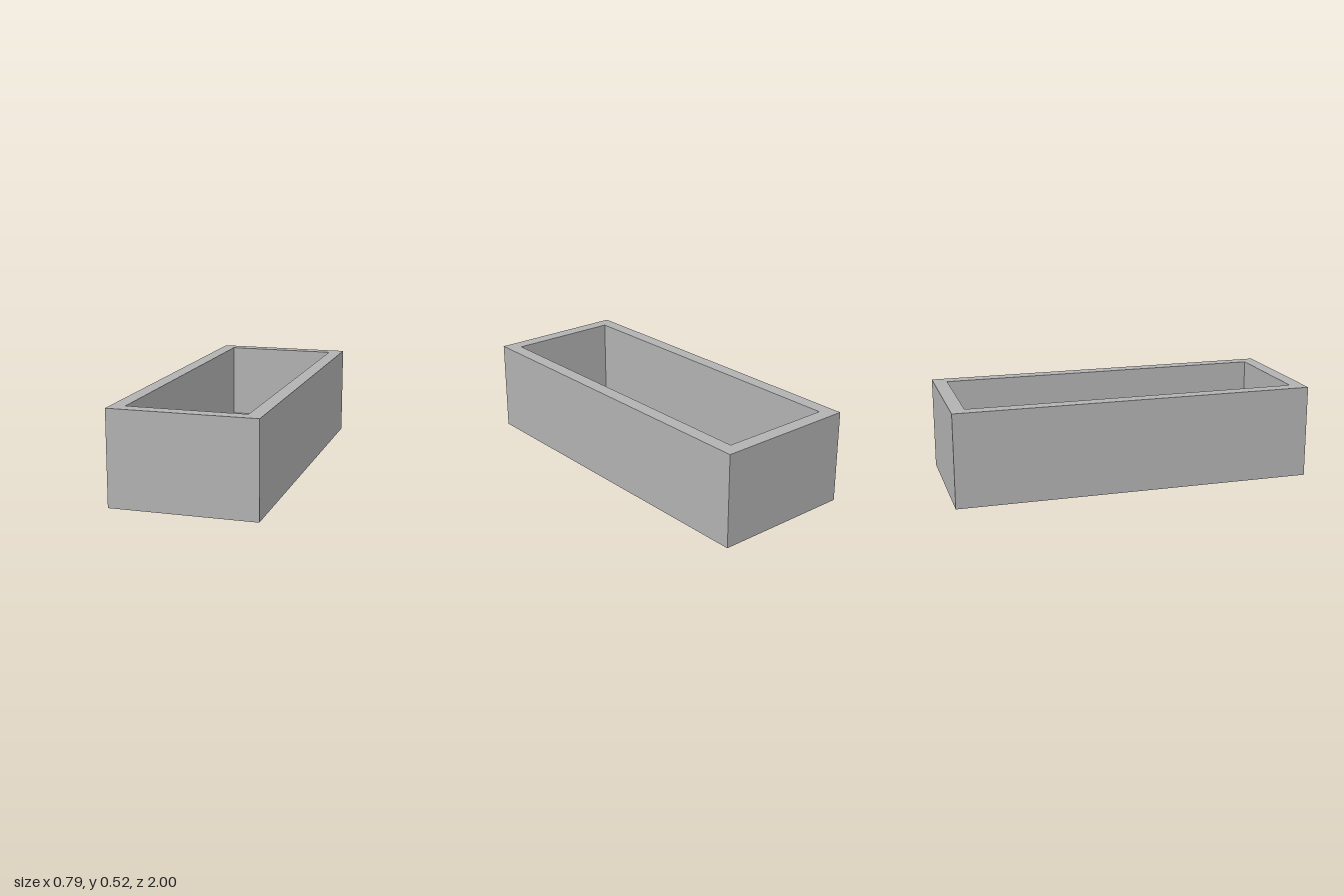
import * as THREE from 'three';

const HALF_X = 0.397, HALF_Z = 1, HEIGHT = 0.517, WALL = 0.077;

// Four corners of a rectangle at height y, counter-clockwise from above
const ring = (x, z, y) => [[x, y, z], [x, y, -z], [-x, y, -z], [-x, y, z]];

// Seamless open box: outer walls, rim, inner walls, inner floor and underside
function openBoxGeometry() {
  const ix = HALF_X - WALL, iz = HALF_Z - WALL;
  const rings = [
    ring(HALF_X, HALF_Z, 0),
    ring(HALF_X, HALF_Z, HEIGHT),
    ring(ix, iz, HEIGHT),
    ring(ix, iz, WALL),
  ];
  const positions = [];
  const quad = (a, b, c, d) => positions.push(...a, ...b, ...c, ...a, ...c, ...d);

  for (let r = 0; r < rings.length - 1; r++) {
    for (let i = 0; i < 4; i++) {
      const j = (i + 1) % 4;
      quad(rings[r][i], rings[r][j], rings[r + 1][j], rings[r + 1][i]);
    }
  }
  quad(...rings[3]); // inner floor
  quad(...[...rings[0]].reverse()); // underside

  const geometry = new THREE.BufferGeometry();
  geometry.setAttribute('position', new THREE.Float32BufferAttribute(positions, 3));
  geometry.computeVertexNormals();
  return geometry;
}

export function createModel() {
  const grey = new THREE.MeshStandardMaterial({ color: 0xb2b2b2 });
  grey.name = 'grey';

  const trough = new THREE.Mesh(openBoxGeometry(), grey);
  trough.name = 'trough';

  const model = new THREE.Group();
  model.name = 'openTrough';
  model.add(trough);
  return model;
}
